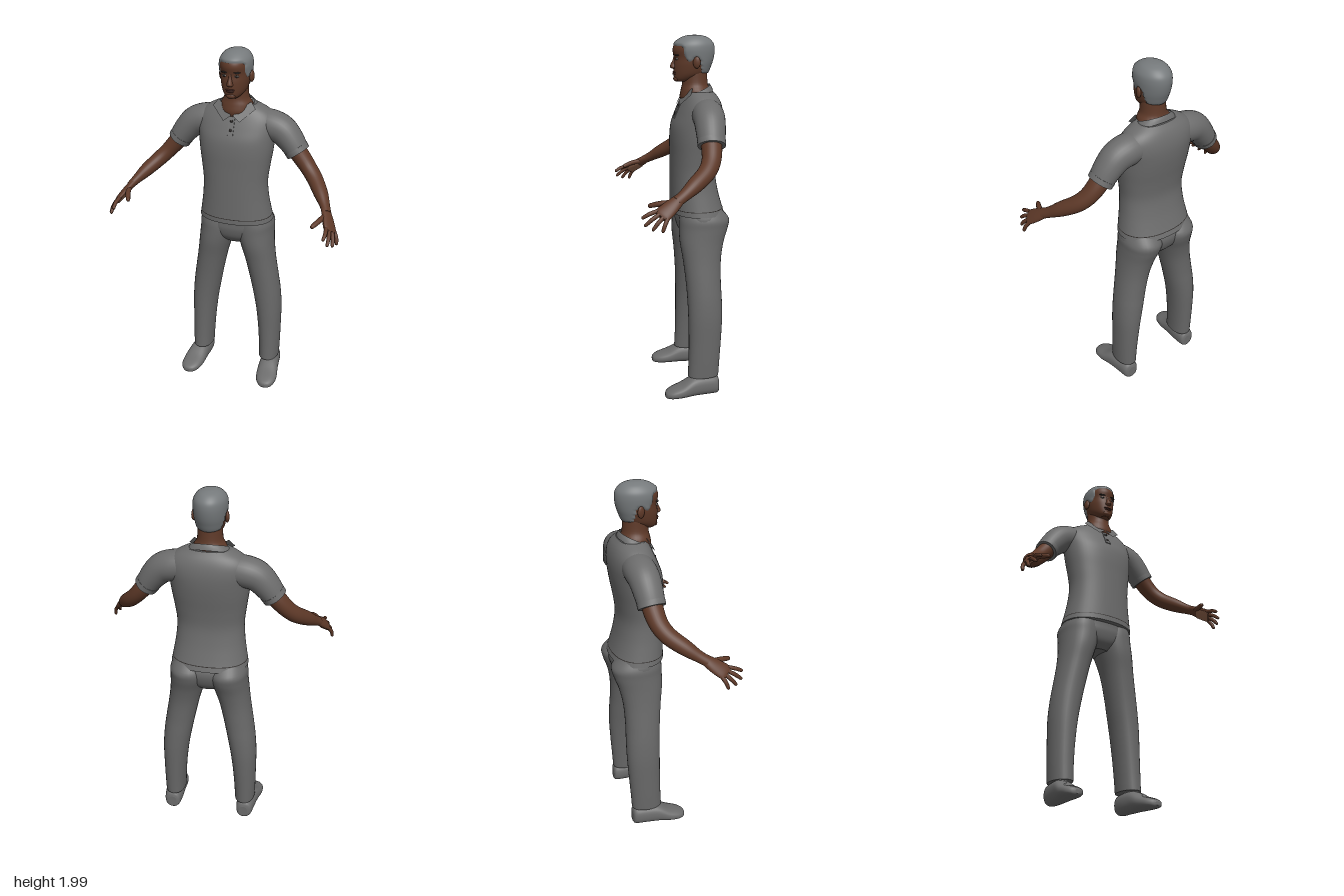
import * as THREE from 'three';

const V = (x, y, z) => new THREE.Vector3(x, y, z);
const X = V(1, 0, 0), Y = V(0, 1, 0), Z = V(0, 0, 1);
const mat = (name, color, side = THREE.FrontSide) => {
  const m = new THREE.MeshStandardMaterial({ color, side });
  m.name = name;
  return m;
};

// Smooth interpolation of cross-section rows
function refine(rows, steps) {
  const out = [], last = rows.length - 1;
  for (let i = 0; i < last; i++) {
    const p = [rows[Math.max(i - 1, 0)], rows[i], rows[i + 1], rows[Math.min(i + 2, last)]];
    for (let s = 0; s < steps; s++) {
      const t = s / steps;
      out.push(rows[i].map((b, k) => {
        const a = p[0][k], c = p[2][k], d = p[3][k];
        return 0.5 * (2 * b + (c - a) * t + (2 * a - 5 * b + 4 * c - d) * t * t + (3 * b - a - 3 * c + d) * t * t * t);
      }));
    }
  }
  out.push(rows[last]);
  return out;
}

// Skin over rows of [x, y, z, halfWidth, halfDepth]; u is the width direction
function loft(rows, { u = X, axis = null, power = 2, seg = 28, steps = 5, caps = true } = {}) {
  const R = refine(rows, steps), n = R.length, pos = [], idx = [];
  const at = (i) => V(R[i][0], R[i][1], R[i][2]);
  const bend = (c) => Math.sign(c) * Math.abs(c) ** (2 / power);
  const addRing = (i) => {
    const t = axis ? axis.clone() : at(Math.min(i + 1, n - 1)).sub(at(Math.max(i - 1, 0))).normalize();
    const w = u.clone().addScaledVector(t, -u.dot(t)).normalize();
    const d = t.clone().cross(w);
    for (let j = 0; j < seg; j++) {
      const q = j / seg * Math.PI * 2;
      const p = at(i).addScaledVector(w, bend(Math.cos(q)) * Math.max(R[i][3], 0.001))
        .addScaledVector(d, bend(Math.sin(q)) * Math.max(R[i][4], 0.001));
      pos.push(p.x, p.y, p.z);
    }
  };
  for (let i = 0; i < n; i++) addRing(i);
  for (let i = 0; i < n - 1; i++) for (let j = 0; j < seg; j++) {
    const k = (j + 1) % seg, a = i * seg + j, b = i * seg + k;
    idx.push(a, b, a + seg, b, b + seg, a + seg);
  }
  if (caps) for (const i of [0, n - 1]) {
    const start = pos.length / 3;
    addRing(i);
    pos.push(R[i][0], R[i][1], R[i][2]);
    for (let j = 0; j < seg; j++) {
      const a = start + j, b = start + (j + 1) % seg;
      if (i) idx.push(a, b, start + seg); else idx.push(b, a, start + seg);
    }
  }
  const g = new THREE.BufferGeometry();
  g.setAttribute('position', new THREE.Float32BufferAttribute(pos, 3));
  g.setIndex(idx);
  g.computeVertexNormals();
  return g;
}

// Upright form from rows of [y, frontZ, backZ, halfWidth, centreX]
const upright = (rows, opts = {}) => loft(
  rows.map(([y, f, b, w, x = 0]) => [x, y, (f + b) / 2, w, (f - b) / 2]), { axis: Y, ...opts });

export function createModel() {
  const model = new THREE.Group();
  model.name = 'standingMan';
  const shirt = mat('shirt grey', 0x6c6c6c, THREE.DoubleSide);
  const trousers = mat('trouser grey', 0x686868);
  const shoe = mat('shoe grey', 0x6c6c6c);
  const hair = mat('hair grey', 0x767a7c);
  const skin = mat('brown skin', 0x5e3928);
  const palmSkin = mat('pale palm', 0x94664d);
  const lipSkin = mat('lip brown', 0x4c2a22);
  const dark = mat('dark detail', 0x2c2826);
  const eyeWhite = mat('eye white', 0x8c837c);
  const add = (parent, name, geo, m) => {
    const mesh = new THREE.Mesh(geo, m);
    mesh.name = name;
    parent.add(mesh);
    return mesh;
  };
  const blob = (parent, name, m, p, s) => {
    const mesh = add(parent, name, new THREE.SphereGeometry(1, 20, 14), m);
    mesh.position.set(...p);
    mesh.scale.set(...s);
    return mesh;
  };

  // Shirt body, hem seam, placket and buttons
  add(model, 'shirtBody', upright([
    [1.035, 0.03, -0.265, 0.212], [1.1, 0.03, -0.245, 0.2], [1.18, 0.03, -0.225, 0.188],
    [1.27, 0.03, -0.213, 0.183], [1.36, 0.03, -0.222, 0.193], [1.45, 0.03, -0.238, 0.206],
    [1.52, 0.022, -0.248, 0.213], [1.58, 0, -0.25, 0.22], [1.63, -0.022, -0.242, 0.212],
    [1.67, -0.042, -0.225, 0.175], [1.7, -0.06, -0.2, 0.118],
  ], { power: 2.25, seg: 48 }), shirt);
  add(model, 'hemSeam', upright([[1.062, 0.0315, -0.2575, 0.2075], [1.066, 0.0315, -0.2565, 0.2065]],
    { power: 2.25, seg: 48, steps: 1, caps: false }), dark);
  const placket = add(model, 'placket', new THREE.BoxGeometry(0.032, 0.1, 0.006), shirt);
  placket.position.set(0, 1.6, -0.008);
  placket.rotation.x = -0.42;
  for (const [y, z] of [[1.625, -0.015], [1.58, 0.004]])
    blob(model, 'button', dark, [0, y, z], [0.008, 0.008, 0.005]);

  // Collar band, tilted forward round the neck
  add(model, 'collarBand', loft([[0, 1.672, -0.115, 0.122, 0.094], [0, 1.69, -0.112, 0.108, 0.09], [0, 1.704, -0.108, 0.094, 0.086]],
    { axis: V(0, 0.92, 0.39), caps: false, seg: 36 }), shirt);

  // Trouser seat
  add(model, 'trouserSeat', upright([[0.89, -0.05, -0.2, 0.07], [0.93, -0.015, -0.235, 0.16],
    [0.98, 0, -0.255, 0.205], [1.02, 0, -0.255, 0.21], [1.06, 0, -0.235, 0.195]], { power: 2.3, seg: 40 }), trousers);

  // Neck
  add(model, 'neck', upright([[1.64, -0.03, -0.19, 0.08], [1.67, -0.022, -0.195, 0.09], [1.705, -0.028, -0.188, 0.087],
    [1.74, -0.035, -0.175, 0.068], [1.8, -0.035, -0.17, 0.063]]), skin);

  // Head, and hair as a second skin that sinks below the hairline
  const headGeo = upright([[1.752, -0.005, -0.06, 0.026], [1.766, 0.008, -0.11, 0.046], [1.795, 0.012, -0.165, 0.066],
    [1.84, 0.013, -0.188, 0.077], [1.88, 0.01, -0.2, 0.081], [1.92, 0.017, -0.204, 0.083], [1.95, 0.006, -0.197, 0.077],
    [1.975, -0.026, -0.172, 0.057], [1.987, -0.06, -0.14, 0.03], [1.99, -0.09, -0.11, 0.008]],
  { seg: 56, steps: 8 });
  add(model, 'head', headGeo, skin);
  const hairline = [[0.05, 1.945], [-0.025, 1.94], [-0.04, 1.88], [-0.055, 1.858], [-0.075, 1.865],
    [-0.09, 1.885], [-0.115, 1.875], [-0.13, 1.8], [-0.25, 1.775]];
  const lineAt = (z) => {
    for (let i = 1; i < hairline.length; i++) {
      const [z0, y0] = hairline[i - 1], [z1, y1] = hairline[i];
      if (z >= z1) return THREE.MathUtils.mapLinear(z, z0, z1, y0, y1);
    }
    return 1.775;
  };
  const hairGeo = headGeo.clone(), hp = hairGeo.attributes.position, mid = V(0, 1.88, -0.09);
  for (let i = 0; i < hp.count; i++) {
    const p = V().fromBufferAttribute(hp, i);
    const cover = THREE.MathUtils.smoothstep(p.y - lineAt(p.z), -0.012, 0.012);
    p.sub(mid).multiplyScalar(0.94 + 0.125 * cover).add(mid);
    hp.setXYZ(i, p.x, p.y, p.z);
  }
  hairGeo.computeVertexNormals();
  add(model, 'hair', hairGeo, hair);

  // Nose and mouth
  add(model, 'nose', upright([[1.82, 0.018, -0.01, 0.011], [1.828, 0.032, -0.01, 0.018], [1.842, 0.03, -0.01, 0.014],
    [1.865, 0.018, -0.01, 0.009], [1.885, 0.012, -0.01, 0.008]], { seg: 16 }), skin);
  blob(model, 'upperLip', lipSkin, [0, 1.802, 0.009], [0.026, 0.005, 0.01]);
  blob(model, 'lowerLip', lipSkin, [0, 1.793, 0.008], [0.022, 0.006, 0.01]);
  blob(model, 'chin', skin, [0, 1.768, -0.003], [0.026, 0.016, 0.017]);

  // Everything paired: built on the left, then mirrored
  const buildSide = (name) => {
    const side = new THREE.Group();
    side.name = name;
    // Face details
    blob(side, 'eye', eyeWhite, [0.033, 1.874, 0.001], [0.014, 0.006, 0.006]);
    blob(side, 'iris', dark, [0.033, 1.874, 0.005], [0.006, 0.006, 0.004]);
    blob(side, 'eyebrow', dark, [0.035, 1.893, 0.002], [0.02, 0.004, 0.008]).rotation.y = 0.3;
    blob(side, 'ear', skin, [0.085, 1.856, -0.097], [0.011, 0.031, 0.02]).rotation.y = -0.3;

    // Collar flap
    const flap = new THREE.BufferGeometry();
    flap.setAttribute('position', new THREE.Float32BufferAttribute([0.09, 1.725, -0.075, 0.005, 1.655, -0.018,
      0.045, 1.625, -0.008, 0.12, 1.69, -0.06], 3));
    flap.setIndex([0, 1, 2, 0, 2, 3]);
    flap.computeVertexNormals();
    add(side, 'collarFlap', flap, shirt);

    // Sleeve with a cuff
    add(side, 'sleeve', loft([[0.12, 1.595, -0.14, 0.08, 0.08], [0.19, 1.587, -0.137, 0.085, 0.083],
      [0.25, 1.565, -0.132, 0.082, 0.08], [0.3, 1.515, -0.127, 0.077, 0.072], [0.343, 1.455, -0.122, 0.07, 0.062]], { u: Z }), shirt);
    add(side, 'cuff', loft([[0.328, 1.476, -0.124, 0.074, 0.067], [0.345, 1.452, -0.122, 0.073, 0.065]], { u: Z, steps: 1 }), shirt);

    // Arm
    add(side, 'arm', loft([[0.32, 1.485, -0.122, 0.055, 0.05], [0.365, 1.43, -0.118, 0.053, 0.048],
      [0.41, 1.378, -0.103, 0.049, 0.044], [0.455, 1.333, -0.068, 0.046, 0.042], [0.505, 1.285, 0, 0.041, 0.037],
      [0.54, 1.248, 0.056, 0.031, 0.026], [0.563, 1.222, 0.1, 0.028, 0.021]], { u: Z }), skin);

    // Hand: palm, pale inner face, fingers and thumb
    const across = V(0.53, -0.47, -0.71), knuckle = V(0.6, 1.17, 0.176);
    const palmRows = [[0.55, 1.236, 0.08, 0.027, 0.02], [0.575, 1.204, 0.125, 0.038, 0.019],
      [0.598, 1.173, 0.172, 0.043, 0.015], [0.606, 1.161, 0.188, 0.035, 0.009]];
    add(side, 'hand', loft(palmRows, { u: across }), skin);
    add(side, 'palm', loft(palmRows.slice(1).map(([x, y, z, a, b]) =>
      [x - 0.0105, y - 0.0095, z - 0.0015, a * 0.8, b * 0.45]), { u: across }), palmSkin);
    const finger = (label, a, b, r) => {
      const m = a.clone().lerp(b, 0.5).add(V(0.004, 0.004, 0.001)), e = a.clone().lerp(b, 0.92);
      add(side, label, loft([[...a, r, r], [...m, r, r], [...e, r * 0.8, r * 0.8], [...b, r * 0.3, r * 0.3]],
        { u: across, seg: 12, steps: 4 }), skin);
    };
    [['indexFinger', -0.032, V(0.585, 1.152, 0.278)], ['middleFinger', -0.011, V(0.607, 1.118, 0.268)],
      ['ringFinger', 0.011, V(0.628, 1.1, 0.232)], ['littleFinger', 0.031, V(0.641, 1.092, 0.185)]]
      .forEach(([label, s, tip]) => finger(label, knuckle.clone().addScaledVector(across, s), tip, 0.0105));
    finger('thumb', V(0.56, 1.218, 0.115), V(0.513, 1.195, 0.235), 0.014);

    // Trouser leg
    add(side, 'trouserLeg', upright([[0.115, -0.03, -0.205, 0.058, 0.213], [0.2, -0.034, -0.21, 0.061, 0.212],
      [0.32, -0.036, -0.218, 0.066, 0.208], [0.45, -0.035, -0.225, 0.074, 0.2], [0.56, -0.032, -0.225, 0.08, 0.186],
      [0.66, -0.026, -0.222, 0.083, 0.169], [0.78, -0.014, -0.226, 0.087, 0.146], [0.88, 0, -0.245, 0.096, 0.125],
      [0.96, 0.002, -0.272, 0.106, 0.109], [1.01, 0, -0.277, 0.104, 0.108], [1.06, -0.01, -0.235, 0.085, 0.105]],
    { power: 2.15, seg: 32 }), trousers);

    // Shoe, running heel to toe
    add(side, 'shoe', loft([[0.218, 0.05, -0.206, 0.025, 0.035], [0.22, 0.058, -0.192, 0.045, 0.053],
      [0.222, 0.062, -0.13, 0.054, 0.058], [0.228, 0.06, -0.06, 0.058, 0.056], [0.236, 0.042, 0.01, 0.063, 0.038],
      [0.241, 0.032, 0.065, 0.055, 0.028], [0.243, 0.026, 0.096, 0.034, 0.02], [0.243, 0.024, 0.106, 0.012, 0.01]],
    { axis: Z, power: 2.4 }), shoe);
    return side;
  };
  const right = buildSide('rightSide');
  right.scale.x = -1;
  model.add(buildSide('leftSide'), right);
  return model;
}
